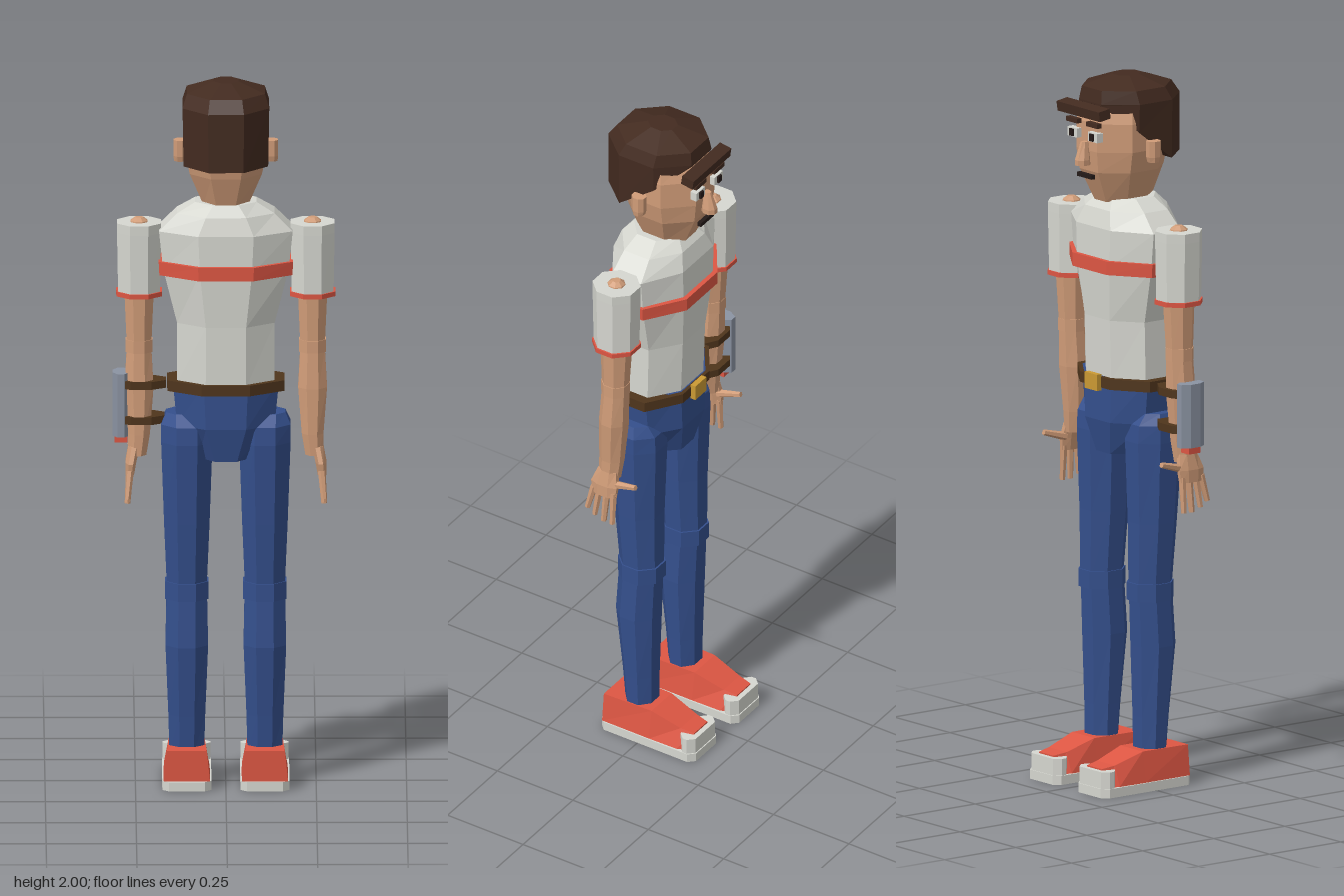
import * as THREE from 'three';

const mat = (name, color) => Object.assign(new THREE.MeshStandardMaterial({ color }), { name });

export function createModel() {
  const hair = mat('hair', 0x432b20), skin = mat('skin', 0xd09c78), cloth = mat('white cloth', 0xd6d7d0);
  const red = mat('red', 0xdd5643), jeans = mat('denim', 0x344f8c), leather = mat('leather', 0x4f351c);
  const gold = mat('gold', 0xcb9a33), metal = mat('grey metal', 0x8b93a2), dark = mat('dark', 0x241a18);

  const model = new THREE.Group();
  model.name = 'standingFigure';

  // Flat-faced mesh
  const add = (parent, name, geo, material) => {
    const g = geo.index ? geo.toNonIndexed() : geo;
    g.computeVertexNormals();
    const m = new THREE.Mesh(g, material);
    m.name = name;
    parent.add(m);
    return m;
  };

  // Octagonal rings [y, halfWidth, halfDepth, cx, cz] joined from bottom to top, capped;
  // rule(v, ringIndex) may move single points
  const loft = (rings, rule) => {
    const N = 8, pos = [], idx = [], k = 1 / Math.cos(Math.PI / N);
    rings.forEach(([y, w, d, cx = 0, cz = 0], r) => {
      for (let i = 0; i < N; i++) {
        const a = (i + 0.5) / N * Math.PI * 2;
        const v = new THREE.Vector3(cx + Math.cos(a) * w * k, y, cz + Math.sin(a) * d * k);
        if (rule) rule(v, r);
        pos.push(v.x, v.y, v.z);
      }
    });
    const top = (rings.length - 1) * N;
    for (let r = 0; r < top; r += N) {
      for (let i = 0; i < N; i++) {
        const a = r + i, b = r + (i + 1) % N;
        idx.push(a, a + N, b, b, a + N, b + N);
      }
    }
    for (let i = 1; i < N - 1; i++) {
      idx.push(0, i, i + 1, top, top + i + 1, top + i);
    }
    const g = new THREE.BufferGeometry();
    g.setAttribute('position', new THREE.Float32BufferAttribute(pos, 3));
    g.setIndex(idx);
    return g;
  };

  const box = (parent, name, [w, h, d], [x, y, z], material) => {
    const m = add(parent, name, new THREE.BoxGeometry(w, h, d), material);
    m.position.set(x, y, z);
    return m;
  };

  // Flat slab with cut corners
  const slab = (cx, hw, z0, z1, y0, y1, c) => {
    const pts = [[-hw + c, -z1], [hw - c, -z1], [hw, -z1 + c], [hw, -z0 - c],
      [hw - c, -z0], [-hw + c, -z0], [-hw, -z0 - c], [-hw, -z1 + c]];
    const s = new THREE.Shape(pts.map(p => new THREE.Vector2(...p)));
    return new THREE.ExtrudeGeometry(s, { depth: y1 - y0, bevelEnabled: false })
      .rotateX(-Math.PI / 2).translate(cx, y0, 0);
  };

  // Tapered rod between two points
  const rod = (parent, name, p, q, r0, r1, material) => {
    const a = new THREE.Vector3(...p), b = new THREE.Vector3(...q), d = b.clone().sub(a);
    const m = add(parent, name, new THREE.CylinderGeometry(r1, r0, d.length(), 6), material);
    m.position.copy(a).add(b).multiplyScalar(0.5);
    m.quaternion.setFromUnitVectors(new THREE.Vector3(0, 1, 0), d.normalize());
  };

  // Head and hair; the figure looks toward -z
  const head = new THREE.Group();
  head.name = 'head';
  model.add(head);
  add(head, 'skull', loft([[1.65, 0.062, 0.08, 0, 0.02], [1.74, 0.1, 0.115, 0, 0.015],
    [1.8, 0.112, 0.125, 0, 0.017], [1.88, 0.112, 0.125, 0, 0.017], [1.945, 0.1, 0.105, 0, 0.02]]), skin);
  add(head, 'hairCap', loft([[1.77, 0.117, 0.138, 0, 0.042], [1.935, 0.12, 0.138, 0, 0.042],
    [1.972, 0.108, 0.122, 0, 0.032], [2.0, 0.035, 0.04, 0, 0.032]],
    (v, r) => { if (r === 0 && v.z < 0.075) v.y = Math.min(1.93, 1.77 + (0.075 - v.z) * 0.97); }), hair);
  box(head, 'fringe', [0.19, 0.028, 0.038], [0.005, 1.914, -0.115], hair).rotation.x = -0.15;
  add(head, 'nose', loft([[1.76, 0.018, 0.022, 0, -0.122], [1.775, 0.018, 0.022, 0, -0.122],
    [1.825, 0.008, 0.012, 0, -0.115]]), skin);
  box(head, 'mouth', [0.065, 0.012, 0.012], [0, 1.728, -0.11], dark);
  for (const s of [-1, 1]) {
    box(head, 'eyebrow', [0.05, 0.013, 0.016], [s * 0.045, 1.88, -0.118], hair);
    box(head, 'eye', [0.042, 0.026, 0.02], [s * 0.045, 1.845, -0.113], cloth);
    box(head, 'pupil', [0.016, 0.02, 0.008], [s * 0.045, 1.845, -0.125], dark);
    add(head, 'ear', loft([[1.77, 0.016, 0.016, s * 0.127, 0.027], [1.785, 0.018, 0.02, s * 0.127, 0.027],
      [1.83, 0.018, 0.02, s * 0.127, 0.027]]), skin);
  }

  // Shirt, stripe, belt and hips
  add(model, 'shirt', loft([[1.15, 0.135, 0.1, 0, 0.035], [1.32, 0.135, 0.104, 0, 0.033],
    [1.475, 0.174, 0.115, 0, 0.03], [1.58, 0.185, 0.115, 0, 0.03],
    [1.63, 0.135, 0.1, 0, 0.03], [1.66, 0.085, 0.075, 0, 0.03]]), cloth);
  add(model, 'chestStripe', loft([[1.457, 0.184, 0.128, 0, 0.03], [1.495, 0.186, 0.128, 0, 0.03]]), red);
  add(model, 'belt', loft([[1.127, 0.162, 0.112, 0, 0.033], [1.157, 0.162, 0.112, 0, 0.033]]), leather);
  box(model, 'buckle', [0.055, 0.046, 0.016], [0, 1.142, -0.086], gold);
  add(model, 'hips', loft([[0.935, 0.075, 0.085, 0, 0.035], [1.03, 0.135, 0.105, 0, 0.035],
    [1.157, 0.147, 0.104, 0, 0.035]]), jeans);

  for (const s of [-1, 1]) {
    // Leg
    const leg = new THREE.Group();
    leg.name = s > 0 ? 'leftLeg' : 'rightLeg';
    model.add(leg);
    const x = s * 0.108;
    add(leg, 'thigh', loft([[0.56, 0.055, 0.058, x, 0.03], [0.75, 0.063, 0.066, x, 0.038],
      [0.98, 0.071, 0.078, x, 0.043], [1.03, 0.071, 0.075, x, 0.043],
      [1.062, 0.045, 0.05, s * 0.12, 0.04]]), jeans);
    add(leg, 'knee', loft([[0.53, 0.06, 0.063, x, 0.03], [0.58, 0.06, 0.063, x, 0.03]]), jeans);
    add(leg, 'shin', loft([[0.09, 0.048, 0.042, x, 0.028], [0.2, 0.051, 0.047, x, 0.032],
      [0.4, 0.059, 0.06, x, 0.04], [0.55, 0.056, 0.058, x, 0.032]]), jeans);

    // Shoe
    add(leg, 'sole', slab(x, 0.068, -0.183, 0.13, 0, 0.026, 0.018), cloth);
    add(leg, 'toeCap', slab(x, 0.066, -0.18, -0.13, 0.026, 0.073, 0.018), cloth);
    const upper = new THREE.BoxGeometry(1, 1, 1, 1, 1, 3), p = upper.attributes.position;
    const sections = [[-0.165, 0.077, 0.033, 0.045], [-0.125, 0.083, 0.04, 0.062],
      [-0.035, 0.112, 0.05, 0.064], [0.12, 0.112, 0.055, 0.064]]; // z, top, top half width, base half width
    for (let i = 0; i < p.count; i++) {
      const [z, top, tw, bw] = sections[Math.round((p.getZ(i) + 0.5) * 3)];
      const up = p.getY(i) > 0;
      p.setXYZ(i, x + Math.sign(p.getX(i)) * (up ? tw : bw), up ? top : 0.026, z);
    }
    add(leg, 'shoeUpper', upper, red);

    // Arm
    const arm = new THREE.Group();
    arm.name = s > 0 ? 'leftArm' : 'rightArm';
    model.add(arm);
    const ax = s * 0.24;
    add(arm, 'shoulderTop', loft([[1.58, 0.028, 0.028, ax, 0.027], [1.6, 0.023, 0.023, ax, 0.027],
      [1.61, 0.011, 0.011, ax, 0.027]]), skin);
    add(arm, 'sleeve', loft([[1.4, 0.058, 0.06, ax, 0.027], [1.57, 0.061, 0.063, ax, 0.027],
      [1.597, 0.061, 0.063, ax, 0.027]]), cloth);
    add(arm, 'sleeveHem', loft([[1.39, 0.063, 0.064, ax, 0.027], [1.403, 0.063, 0.064, ax, 0.027]]), red);
    add(arm, 'upperArm', loft([[1.25, 0.034, 0.036, ax, 0.03], [1.41, 0.041, 0.043, ax, 0.027]]), skin);
    add(arm, 'elbow', loft([[1.23, 0.037, 0.038, ax, 0.03], [1.265, 0.037, 0.038, ax, 0.03]]), skin);
    add(arm, 'forearm', loft([[0.94, 0.025, 0.03, s * 0.245, 0.045], [1.0, 0.03, 0.034, ax, 0.042],
      [1.13, 0.04, 0.039, ax, 0.035], [1.24, 0.034, 0.036, ax, 0.03]]), skin);

    // Hand
    add(arm, 'palm', loft([[0.885, 0.012, 0.038, s * 0.266, 0.05], [0.92, 0.015, 0.042, s * 0.263, 0.05],
      [0.965, 0.016, 0.03, s * 0.254, 0.045]]), skin);
    [[0.02, 0.8], [0.042, 0.8], [0.066, 0.81], [0.084, 0.825]].forEach(([z, tip], i) =>
      rod(arm, 'finger', [s * 0.265, 0.9, z], [s * 0.272, tip, z + 0.006 * i], 0.011, 0.008, skin));
    rod(arm, 'thumb', [s * 0.258, 0.925, 0.02], [s * 0.264, 0.945, -0.052], 0.012, 0.008, skin);
  }

  // Forearm gadget strapped on the right arm
  const gadget = new THREE.Group();
  gadget.name = 'wristGadget';
  model.add(gadget);
  for (const y of [1.04, 1.14]) {
    add(gadget, 'strap', loft([[y - 0.011, 0.07, 0.046, -0.235, 0.03],
      [y + 0.011, 0.07, 0.046, -0.235, 0.03]]), leather);
  }
  add(gadget, 'case', loft([[0.992, 0.023, 0.04, -0.29, 0.03], [1.172, 0.023, 0.04, -0.29, 0.03]]), metal);
  box(gadget, 'redTip', [0.036, 0.022, 0.04], [-0.29, 0.985, 0.03], red);

  return model;
}
